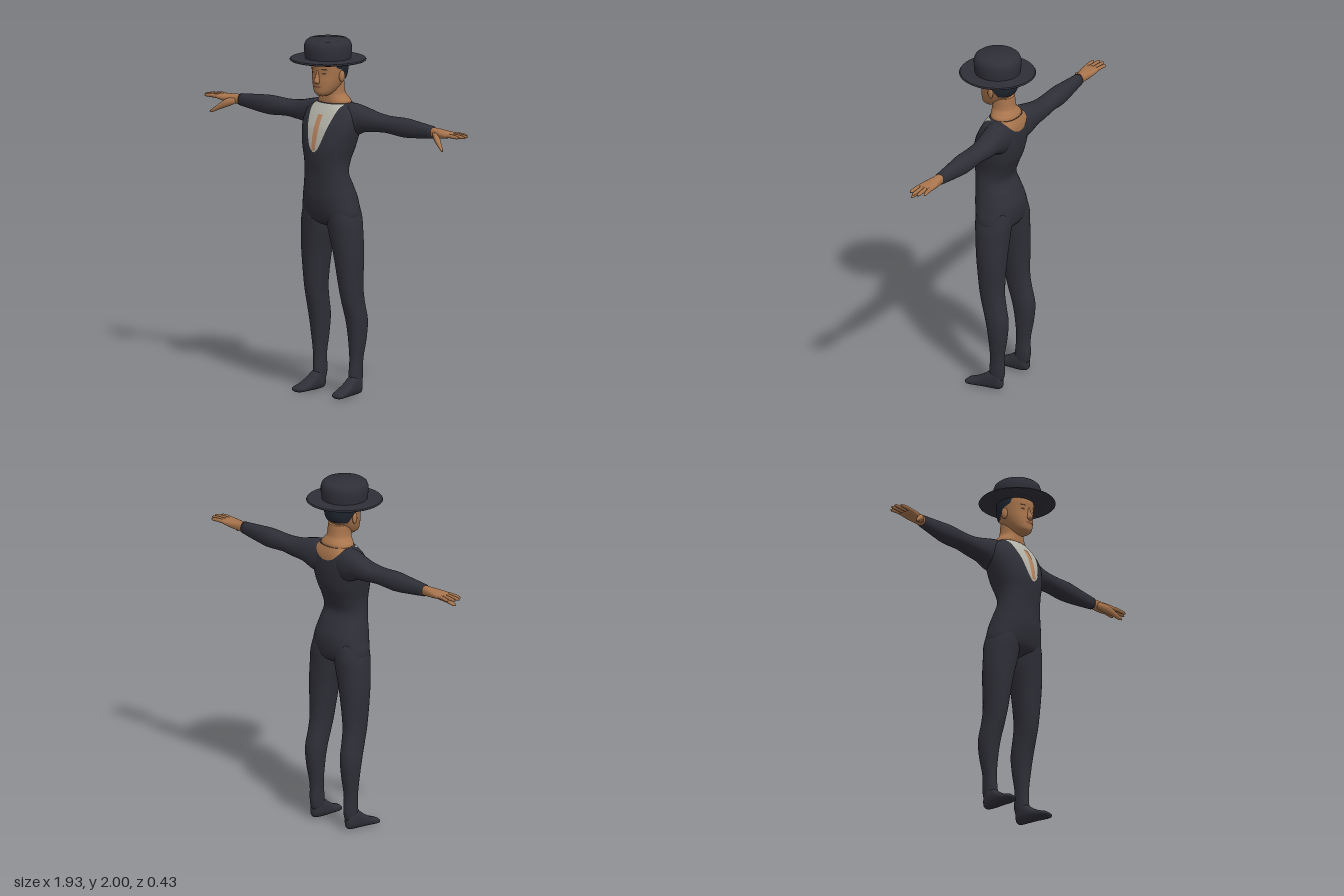
import * as THREE from 'three';
import { toCreasedNormals } from 'three/addons/utils/BufferGeometryUtils.js';

const mat = (name, color) => Object.assign(new THREE.MeshStandardMaterial({ color }), { name });

// Smooth interpolation of rows [t, ...values] with t ascending
function sample(rows, t) {
  let i = 0;
  while (i < rows.length - 2 && t > rows[i + 1][0]) i++;
  const slope = (k, c) => {
    const p = rows[Math.max(k - 1, 0)], q = rows[Math.min(k + 1, rows.length - 1)];
    return (q[c] - p[c]) / (q[0] - p[0]);
  };
  const p = rows[i], q = rows[i + 1], h = q[0] - p[0], u = (t - p[0]) / h;
  return p.map((v, c) => c === 0 ? t :
    v * (1 + 2 * u) * (1 - u) ** 2 + h * slope(i, c) * u * (1 - u) ** 2 +
    q[c] * u * u * (3 - 2 * u) + h * slope(i + 1, c) * u * u * (u - 1));
}

// Point on a rounded section [t, a0, a1, b0, b1] lying across the axis
function sectionPoint(axis, [t, a0, a1, b0, b1], angle, n, off = 0) {
  const pw = v => Math.sign(v) * Math.abs(v) ** (2 / n);
  const a = (a0 + a1) / 2 + ((a1 - a0) / 2 + off) * pw(Math.cos(angle));
  const b = (b0 + b1) / 2 + ((b1 - b0) / 2 + off) * pw(Math.sin(angle));
  return axis === 'x' ? [t, b, a] : axis === 'y' ? [a, t, b] : [b, a, t];
}

function gridGeometry(rings, closed) {
  const cols = rings[0].length, pos = rings.flat(2), idx = [];
  for (let i = 0; i < rings.length - 1; i++) {
    for (let j = 0; j < (closed ? cols : cols - 1); j++) {
      const k = (j + 1) % cols, a = i * cols, b = a + cols;
      idx.push(a + j, b + j, b + k, a + j, b + k, a + k);
    }
  }
  if (closed) {
    [0, rings.length - 1].forEach((r, end) => {
      const c = pos.length / 3;
      for (let d = 0; d < 3; d++) pos.push(rings[r].reduce((s, p) => s + p[d], 0) / cols);
      for (let j = 0; j < cols; j++) {
        const p = r * cols + j, q = r * cols + (j + 1) % cols;
        idx.push(c, ...(end ? [q, p] : [p, q]));
      }
    });
  }
  const g = new THREE.BufferGeometry();
  g.setAttribute('position', new THREE.Float32BufferAttribute(pos, 3));
  g.setIndex(idx);
  g.computeVertexNormals();
  return g;
}

// Closed body through the sections
function loft(axis, secs, { n = 2.2, cols = 28, steps = 32 } = {}) {
  const t0 = secs[0][0], t1 = secs[secs.length - 1][0], rings = [];
  for (let i = 0; i <= steps; i++) {
    const s = sample(secs, t0 + (t1 - t0) * i / steps);
    rings.push(Array.from({ length: cols }, (_, j) => sectionPoint(axis, s, j / cols * Math.PI * 2, n)));
  }
  return gridGeometry(rings, true);
}

// Thin patch hugging an upright body; rows are [y, half width], or half angle if byAngle
function patch(secs, n, rows, center, off, byAngle = false) {
  const steps = 24, cols = 20, rings = [];
  const y0 = rows[0][0], y1 = rows[rows.length - 1][0];
  for (let i = 0; i <= steps; i++) {
    const [y, w] = sample(rows, y0 + (y1 - y0) * i / steps), s = sample(secs, y);
    const half = byAngle ? w : Math.asin(Math.min(1, w / s[2]) ** (n / 2));
    rings.push(Array.from({ length: cols + 1 }, (_, j) =>
      sectionPoint('y', s, center + half * (2 * j / cols - 1), n, off)));
  }
  return gridGeometry(rings, false);
}

function mirrored(g) {
  const m = g.clone().scale(-1, 1, 1), a = m.index.array;
  for (let i = 0; i < a.length; i += 3) [a[i], a[i + 1]] = [a[i + 1], a[i]];
  return m;
}

const TORSO = [
  [0.945, -0.05, 0.05, -0.07, 0.0], [0.965, -0.13, 0.13, -0.11, 0.045], [1.0, -0.18, 0.18, -0.135, 0.075],
  [1.1, -0.165, 0.165, -0.142, 0.1], [1.18, -0.146, 0.146, -0.115, 0.104], [1.25, -0.134, 0.134, -0.085, 0.106],
  [1.32, -0.135, 0.135, -0.105, 0.113], [1.4, -0.155, 0.155, -0.135, 0.116], [1.5, -0.178, 0.178, -0.15, 0.095],
  [1.56, -0.178, 0.178, -0.149, 0.068], [1.6, -0.16, 0.16, -0.145, 0.045], [1.64, -0.1, 0.1, -0.132, 0.02]];
const LEG = [
  [0.05, 0.105, 0.162, -0.115, -0.035], [0.1, 0.1, 0.165, -0.128, -0.035], [0.2, 0.1, 0.17, -0.125, -0.043],
  [0.32, 0.09, 0.186, -0.143, -0.035], [0.42, 0.083, 0.192, -0.15, -0.018], [0.52, 0.078, 0.188, -0.132, 0.01],
  [0.6, 0.07, 0.19, -0.12, 0.026], [0.8, 0.037, 0.2, -0.125, 0.048], [0.93, 0.006, 0.194, -0.13, 0.062],
  [1.0, 0, 0.184, -0.135, 0.07], [1.08, 0.01, 0.16, -0.125, 0.07]];
const FOOT = [
  [-0.118, 0.02, 0.06, 0.125, 0.15], [-0.105, 0.006, 0.1, 0.108, 0.163], [-0.05, 0, 0.11, 0.1, 0.17],
  [0, 0, 0.075, 0.1, 0.178], [0.05, 0, 0.046, 0.1, 0.186], [0.09, 0, 0.032, 0.112, 0.186], [0.105, 0.008, 0.02, 0.13, 0.172]];
const ARM = [
  [0.06, -0.14, 0, 1.46, 1.635], [0.13, -0.148, 0, 1.455, 1.64], [0.2, -0.148, -0.015, 1.485, 1.625],
  [0.28, -0.147, -0.025, 1.496, 1.606], [0.37, -0.14, -0.03, 1.503, 1.598], [0.5, -0.134, -0.03, 1.495, 1.602],
  [0.6, -0.12, -0.04, 1.503, 1.595], [0.715, -0.105, -0.048, 1.517, 1.585]];
const PALM = [
  [0.7, -0.1, -0.053, 1.523, 1.579], [0.75, -0.105, -0.045, 1.525, 1.578], [0.8, -0.112, -0.03, 1.53, 1.574],
  [0.85, -0.115, -0.023, 1.539, 1.57], [0.875, -0.108, -0.03, 1.546, 1.564]];
const HEAD = [
  [1.684, -0.025, 0.025, 0.015, 0.07], [1.7, -0.047, 0.047, -0.02, 0.086], [1.73, -0.066, 0.066, -0.06, 0.09],
  [1.77, -0.081, 0.081, -0.095, 0.09], [1.8, -0.088, 0.088, -0.11, 0.087], [1.83, -0.092, 0.092, -0.114, 0.088],
  [1.87, -0.094, 0.094, -0.114, 0.09], [1.93, -0.085, 0.085, -0.1, 0.072], [1.97, -0.045, 0.045, -0.05, 0.03]];
const NECK = [
  [1.61, -0.1, 0.1, -0.13, 0.018], [1.65, -0.098, 0.098, -0.13, 0.02], [1.667, -0.083, 0.083, -0.122, 0.02],
  [1.69, -0.067, 0.067, -0.108, 0.021], [1.76, -0.063, 0.063, -0.1, 0.03]];
const NOSE = [
  [1.756, -0.013, 0.013, 0.06, 0.099], [1.768, -0.018, 0.018, 0.06, 0.112], [1.8, -0.011, 0.011, 0.06, 0.1],
  [1.83, -0.008, 0.008, 0.06, 0.091]];

export function createModel() {
  const suit = mat('suit black', 0x2f2f38), skin = mat('skin', 0xa8754d), shirt = mat('shirt grey', 0xb2b1a7);
  const tie = mat('tie tan', 0xb5835f), hair = mat('hair', 0x1f242e), lips = mat('lips', 0x87523b), eyes = mat('eyes', 0x4c3326);
  const model = new THREE.Group();
  model.name = 'manInHat';
  const add = (name, g, m) => {
    const mesh = new THREE.Mesh(g, m);
    mesh.name = name;
    model.add(mesh);
  };
  const pair = (name, g, m) => {
    add('left' + name, g, m);
    add('right' + name, mirrored(g), m);
  };
  const FRONT = Math.PI / 2, BACK = -Math.PI / 2;

  // Suit
  add('torso', loft('y', TORSO, { n: 2.3, cols: 40, steps: 48 }), suit);
  pair('Leg', loft('y', LEG, { steps: 44 }), suit);
  pair('Foot', loft('z', FOOT, { n: 2.4 }), suit);
  pair('Sleeve', loft('x', ARM), suit);

  // Shirt front, tie and open nape
  add('shirtFront', patch(TORSO, 2.3, [[1.375, 0.008], [1.4, 0.03], [1.45, 0.05], [1.55, 0.08], [1.636, 0.1]], FRONT, 0.003), shirt);
  add('tie', patch(TORSO, 2.3, [[1.385, 0.011], [1.48, 0.017], [1.58, 0.016]], FRONT, 0.006), tie);
  add('nape', patch(TORSO, 2.3, [[1.565, 0.02], [1.58, 0.055], [1.61, 0.085], [1.64, 0.1]], BACK, 0.003), skin);

  // Hands: palm, four fingers and a thumb
  pair('Palm', loft('x', PALM, { n: 2.4, steps: 16 }), skin);
  [[-0.102, -0.113, 0.935], [-0.08, -0.085, 0.96], [-0.058, -0.057, 0.965], [-0.036, -0.03, 0.945]].forEach(([z0, z1, tip], i) => {
    const sec = (x, z, y, r) => [x, z - r, z + r, y - r, y + r];
    pair('Finger' + (i + 1), loft('x', [sec(0.84, z0, 1.555, 0.011), sec(0.89, (z0 + z1) / 2, 1.557, 0.0105),
      sec(tip - 0.01, z1, 1.555, 0.008), sec(tip, z1, 1.554, 0.003)], { cols: 10, steps: 10 }), skin);
  });
  pair('Thumb', loft('x', [[0.735, -0.075, -0.045, 1.53, 1.56], [0.78, -0.055, -0.01, 1.507, 1.555],
    [0.82, -0.025, 0.006, 1.49, 1.522], [0.855, 0.001, 0.018, 1.473, 1.492], [0.865, 0.01, 0.017, 1.474, 1.482]],
  { cols: 12, steps: 14 }), skin);

  // Head and face
  add('neck', loft('y', NECK, { cols: 32 }), skin);
  add('head', loft('y', HEAD, { n: 2.2, cols: 36, steps: 40 }), skin);
  add('nose', loft('y', NOSE, { cols: 14, steps: 12 }), skin);
  pair('Ear', new THREE.SphereGeometry(1, 14, 10).scale(0.011, 0.032, 0.019).rotateY(-0.25).translate(0.093, 1.797, -0.012), skin);
  add('mouth', patch(HEAD, 2.2, [[1.732, 0.012], [1.739, 0.026], [1.746, 0.014]], FRONT, 0.003), lips);
  pair('Eye', patch(HEAD, 2.2, [[1.811, 0.06], [1.816, 0.15], [1.821, 0.07]], FRONT - 0.45, 0.002, true), eyes);
  pair('Brow', patch(HEAD, 2.2, [[1.836, 0.2], [1.843, 0.17]], FRONT - 0.45, 0.002, true), eyes);
  add('hair', patch(HEAD, 2.2, [[1.775, 1.1], [1.8, 1.35], [1.83, 1.55], [1.85, 1.95], [1.93, 2.0]], BACK, 0.005, true), hair);

  // Flat-brimmed hat
  const profile = [[0, 1.879], [0.208, 1.879], [0.213, 1.883], [0.208, 1.89], [0.127, 1.892], [0.132, 1.93],
    [0.132, 1.965], [0.124, 1.985], [0.108, 1.998], [0, 2]];
  const hat = new THREE.LatheGeometry(profile.map(p => new THREE.Vector2(...p)), 48);
  add('hat', toCreasedNormals(hat, 0.7), suit);

  return model;
}
